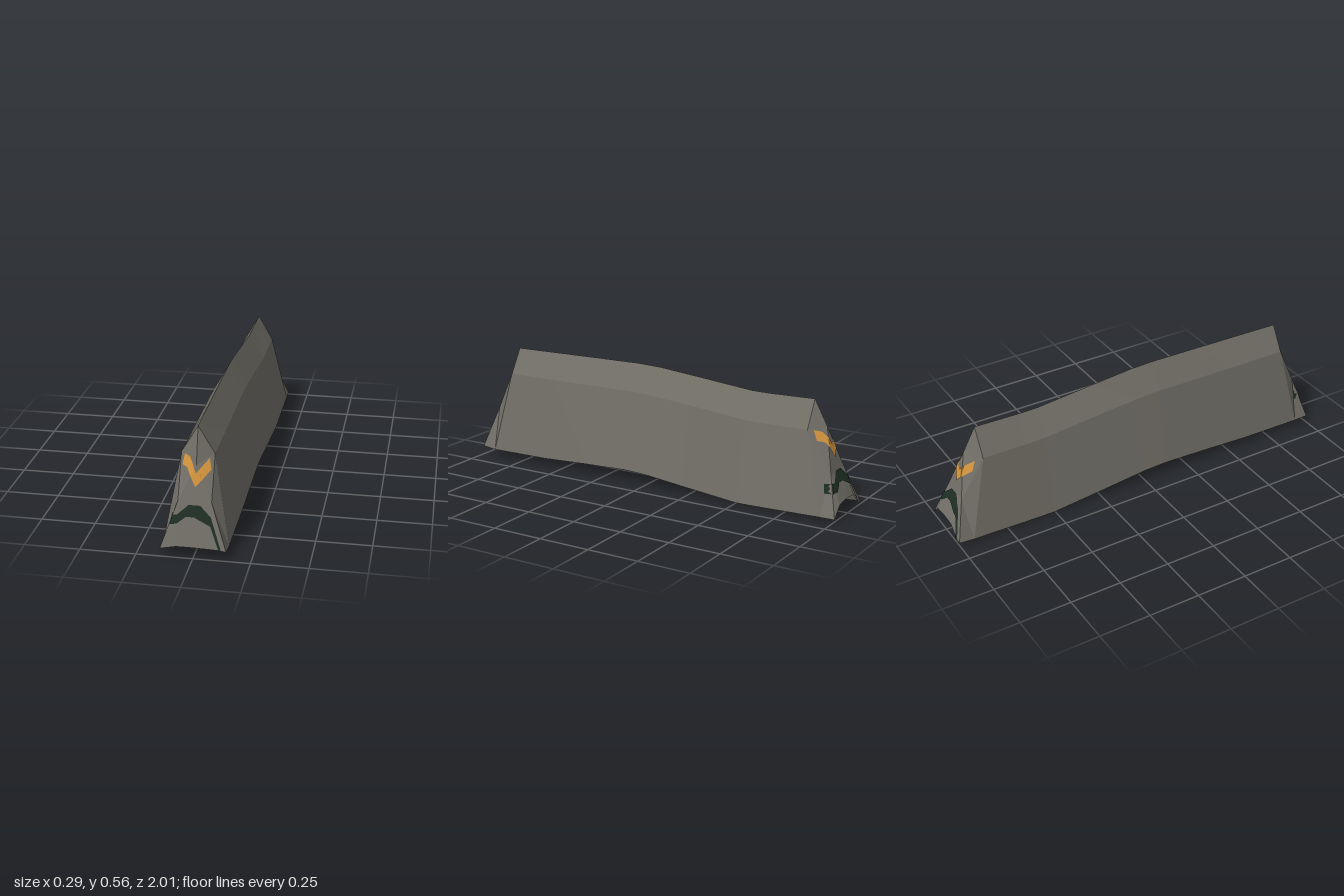
import * as THREE from 'three';

const mat = (name, color) => {
  const m = new THREE.MeshStandardMaterial({ color, flatShading: true, side: THREE.DoubleSide });
  m.name = name;
  return m;
};

// Mesh from a list of triangles, each three [x, y, z] points
function triMesh(name, tris, material) {
  const geo = new THREE.BufferGeometry();
  geo.setAttribute('position', new THREE.Float32BufferAttribute(tris.flat(2), 3));
  geo.computeVertexNormals();
  const mesh = new THREE.Mesh(geo, material);
  mesh.name = name;
  return mesh;
}

const HALF = 0.145, SHOULDER = 0.073;

// Sloped end cap with a ridge, flared corners and an arched lower edge, facing +z
function endTriangles({ top, shoulder, baseL, baseR, apexZ, ridge, knee, arch }) {
  const A = [0, top, apexZ], R = [0, ...ridge];
  const S = [-1, 1].map(s => [s * SHOULDER, shoulder, apexZ]);
  const K = [-1, 1].map(s => [s * SHOULDER, ...knee]);
  const W = [[-HALF, baseL, 0.925], [HALF, baseR, 0.925]];
  const P = arch.map(([x, y]) => [x, y, 1]);
  const C = [P[0], P[P.length - 1]], mid = 2;
  const tris = [[R, K[0], K[1]], [K[0], K[1], P[mid]]];
  for (let i = 0; i < 2; i++) {
    tris.push([A, R, S[i]], [R, S[i], K[i]], [S[i], W[i], K[i]], [K[i], W[i], C[i]]);
  }
  for (let i = 0; i < P.length - 1; i++) tris.push([K[i < mid ? 0 : 1], P[i], P[i + 1]]);
  // Turn every triangle to face outwards
  return tris.map(([a, b, c]) =>
    (b[0] - a[0]) * (c[1] - a[1]) - (b[1] - a[1]) * (c[0] - a[0]) < 0 ? [a, c, b] : [a, b, c]);
}

// Height of the end cap surface above a point in x, y
function surfaceZ(tris, x, y) {
  for (const [a, b, c] of tris) {
    const d = (b[0] - a[0]) * (c[1] - a[1]) - (c[0] - a[0]) * (b[1] - a[1]);
    if (Math.abs(d) < 1e-9) continue;
    const u = ((x - a[0]) * (c[1] - a[1]) - (c[0] - a[0]) * (y - a[1])) / d;
    const v = ((b[0] - a[0]) * (y - a[1]) - (x - a[0]) * (b[1] - a[1])) / d;
    if (u > -1e-4 && v > -1e-4 && u + v < 1.0001) {
      return a[2] + u * (b[2] - a[2]) + v * (c[2] - a[2]);
    }
  }
  return 0.995;
}

// Painted band between two polylines, laid over the end cap
function paintedBand(name, upper, lower, dy, tris, material) {
  const COLS = 6, ROWS = 4, out = [];
  const mix = (a, b, t) => [a[0] + (b[0] - a[0]) * t, a[1] + (b[1] - a[1]) * t];
  for (let i = 0; i < upper.length - 1; i++) {
    const at = (c, r) => {
      const [x, y] = mix(mix(lower[i], lower[i + 1], c / COLS), mix(upper[i], upper[i + 1], c / COLS), r / ROWS);
      return [x, y + dy, surfaceZ(tris, x, y + dy) + 0.004];
    };
    for (let c = 0; c < COLS; c++) {
      for (let r = 0; r < ROWS; r++) {
        const a = at(c, r), b = at(c + 1, r), d = at(c + 1, r + 1), e = at(c, r + 1);
        out.push([a, b, d], [a, d, e]);
      }
    }
  }
  return triMesh(name, out, material);
}

export function createModel() {
  const model = new THREE.Group();
  const stone = mat('grey stone', 0x716e66);
  const orange = mat('orange paint', 0xd0923c);
  const green = mat('dark green paint', 0x1e2e24);

  // Wall sections from front to back: ridge z, base z, ridge y, shoulder y, base y
  const sections = [
    [0.855, 0.925, 0.562, 0.44, 0.04],
    [0.6, 0.6, 0.565, 0.44, 0.043],
    [0.35, 0.35, 0.568, 0.442, 0.055],
    [0.12, 0.12, 0.57, 0.443, 0.063],
    [0, 0, 0.565, 0.437, 0.058],
    [-0.2, -0.2, 0.546, 0.42, 0.036],
    [-0.5, -0.5, 0.516, 0.39, 0.005],
    [-0.6, -0.6, 0.515, 0.388, 0.006],
    [-0.82, -0.925, 0.52, 0.39, 0.014],
  ];
  const rings = sections.map(([zt, zb, top, sh, base]) => [
    [-HALF, base, zb], [-SHOULDER, sh, zt], [0, top, zt], [SHOULDER, sh, zt], [HALF, base, zb],
  ]);
  const wall = [];
  for (let i = 0; i < rings.length - 1; i++) {
    for (let j = 0; j < 4; j++) {
      const a = rings[i][j], b = rings[i][j + 1], c = rings[i + 1][j + 1], d = rings[i + 1][j];
      wall.push([a, b, c], [a, c, d]);
    }
  }
  model.add(triMesh('wall', wall, stone));

  // Painted marks shared by both ends
  const chevronTop = [[-0.055, 0.438], [-0.03, 0.43], [0, 0.368], [0.053, 0.425]];
  const chevronLow = [[-0.063, 0.393], [-0.04, 0.385], [0, 0.31], [0.063, 0.38]];
  const stripeTop = [[-0.1, 0.188], [-0.073, 0.193], [-0.025, 0.235], [0.025, 0.235], [0.073, 0.19], [0.122, 0.057]];
  const stripeLow = [[-0.11, 0.147], [-0.073, 0.155], [-0.035, 0.185], [0, 0.185], [0.072, 0.152], [0.111, 0.057]];

  const ends = [
    { name: 'frontEnd', turn: 0, dyChevron: 0, dyStripe: 0,
      top: 0.562, shoulder: 0.44, baseL: 0.04, baseR: 0.04, apexZ: 0.855, ridge: [0.4, 0.9], knee: [0.25, 0.943],
      arch: [[-HALF, 0.042], [-0.073, 0.057], [0, 0.057], [0.073, 0.055], [0.115, 0.053], [HALF, 0.048]] },
    { name: 'backEnd', turn: Math.PI, dyChevron: -0.05, dyStripe: -0.03,
      top: 0.52, shoulder: 0.39, baseL: 0.014, baseR: 0.014, apexZ: 0.82, ridge: [0.4, 0.885], knee: [0.2, 0.943],
      arch: [[-HALF, 0.015], [-0.09, 0.07], [-0.02, 0.08], [0.06, 0.075], [0.118, 0.02], [HALF, 0.02]] },
  ];
  for (const e of ends) {
    const tris = endTriangles(e);
    const end = new THREE.Group();
    end.name = e.name;
    end.add(
      triMesh('endCap', tris, stone),
      paintedBand('chevron', chevronTop, chevronLow, e.dyChevron, tris, orange),
      paintedBand('archStripe', stripeTop, stripeLow, e.dyStripe, tris, green),
    );
    end.rotation.y = e.turn;
    model.add(end);
  }
  return model;
}
